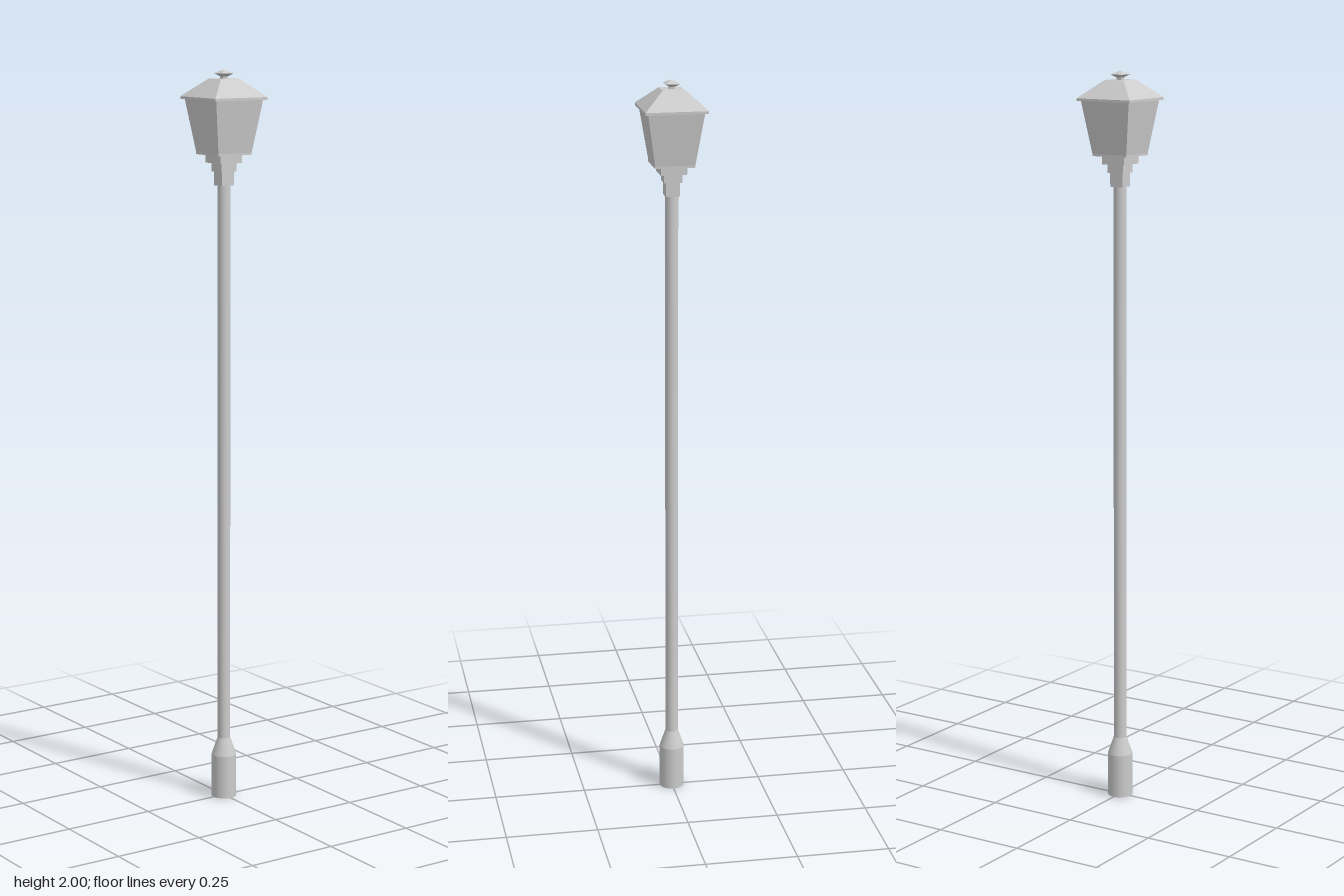
import * as THREE from 'three';

export function createModel() {
  const group = new THREE.Group();
  const smooth = new THREE.MeshStandardMaterial({ color: 0xcccccc });
  const flat = new THREE.MeshStandardMaterial({ color: 0xcccccc, flatShading: true });

  function add(name, geometry, material, y) {
    const mesh = new THREE.Mesh(geometry, material);
    mesh.name = name;
    mesh.position.y = y;
    group.add(mesh);
  }

  // Square frustum from y0 to y1, given half widths at the bottom and top
  function square(name, y0, y1, half0, half1 = half0) {
    const g = new THREE.CylinderGeometry(half1 * Math.SQRT2, half0 * Math.SQRT2, y1 - y0, 4);
    g.rotateY(Math.PI / 4);
    add(name, g, flat, (y0 + y1) / 2);
  }

  // Round section from y0 to y1
  function round(name, y0, y1, r0, r1 = r0, open = false) {
    const g = new THREE.CylinderGeometry(r1, r0, y1 - y0, 24, 1, open);
    add(name, g, smooth, (y0 + y1) / 2);
  }

  // Post
  round('base', 0, 0.12, 0.034);
  round('baseTaper', 0.12, 0.168, 0.034, 0.0175, true);
  round('pole', 0.16, 1.72, 0.0175);

  // Stepped lantern support
  square('collar', 1.695, 1.735, 0.019);
  square('lowerStep', 1.732, 1.757, 0.024);
  square('middleStep', 1.755, 1.779, 0.035);
  square('upperStep', 1.757, 1.783, 0.035);
  square('lanternFloor', 1.777, 1.785, 0.053);

  // Lantern
  square('lanternBody', 1.783, 1.925, 0.053, 0.075);
  square('eave', 1.922, 1.929, 0.083);
  square('roof', 1.929, 1.976, 0.083, 0.029);

  // Finial
  square('finialStem', 1.974, 1.988, 0.007);
  square('finialUnderside', 1.982, 1.99, 0.007, 0.019);
  square('finialTip', 1.99, 2, 0.019, 0);

  return group;
}
